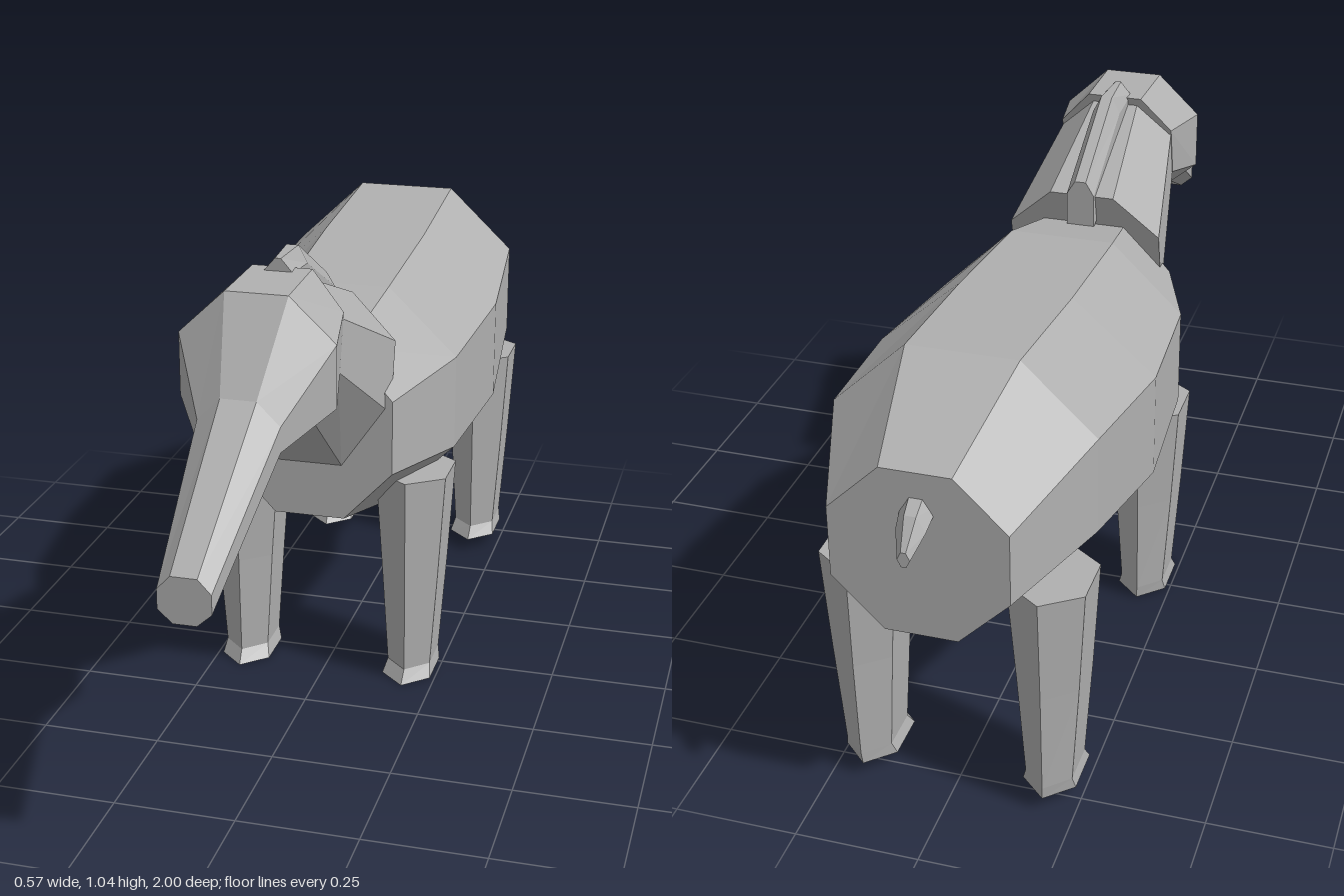
import * as THREE from 'three';

const hide = new THREE.MeshStandardMaterial({ color: 0xb0b0b0, flatShading: true });
hide.name = 'grey hide';

// Skin a list of rings; each runs clockwise as seen from the first ring's end.
function loft(name, rings) {
  const n = rings[0].length, pos = [];
  const tri = (a, b, c) => pos.push(...a, ...b, ...c);
  for (let i = 0; i < rings.length - 1; i++) {
    for (let j = 0; j < n; j++) {
      const k = (j + 1) % n, p = rings[i], q = rings[i + 1];
      tri(p[j], p[k], q[k]);
      tri(p[j], q[k], q[j]);
    }
  }
  const first = rings[0], last = rings[rings.length - 1];
  for (let j = 1; j < n - 1; j++) {
    tri(first[0], first[j + 1], first[j]);
    tri(last[0], last[j], last[j + 1]);
  }
  const geo = new THREE.BufferGeometry();
  geo.setAttribute('position', new THREE.Float32BufferAttribute(pos, 3));
  geo.computeVertexNormals();
  const mesh = new THREE.Mesh(geo, hide);
  mesh.name = name;
  return mesh;
}

// Mirror a half section, given from top to bottom, into a closed ring.
const mirror = (half) => [...half, ...half.slice().reverse().map(([x, y, z]) => [-x, y, z])];

// Eight-sided section that may lean from zTop to zBottom.
function octagon(zTop, zBottom, xTop, xSide, xBottom, yTop, yUpper, yLower, yBottom) {
  const z = (y) => zTop + (zBottom - zTop) * (yTop - y) / (yTop - yBottom);
  return mirror([[xTop, yTop], [xSide, yUpper], [xSide, yLower], [xBottom, yBottom]]
    .map(([x, y]) => [x, y, z(y)]));
}

// Six-sided leg with a small flared hoof
function leg(name, side, y, z) {
  // height, inner x, outer x, front z, back z
  const levels = [
    [0.475, 0.11, 0.263, 0.125, -0.09],
    [0.25, 0.126, 0.25, 0.12, -0.08],
    [0.028, 0.14, 0.235, 0.112, -0.07],
    [0, 0.132, 0.24, 0.135, -0.066],
  ];
  const rings = levels.map(([h, xi, xo, zf, zb]) => {
    const cx = side * (xi + xo) / 2, rx = (xo - xi) / 2;
    const cz = (zf + zb) / 2, rz = (zf - zb) / 2;
    return [[0, -1], [1, -0.5], [1, 0.5], [0, 1], [-1, 0.5], [-1, -0.5]]
      .map(([u, v]) => [cx + u * rx, y + h, z + cz + v * rz]);
  });
  return loft(name, rings);
}

export function createModel() {
  const model = new THREE.Group();
  model.name = 'animal';

  // Barrel-shaped body, chest to rump
  model.add(loft('body', [
    octagon(0.21, 0.21, 0.08, 0.178, 0.075, 0.80, 0.69, 0.53, 0.42),
    octagon(-0.03, -0.03, 0.11, 0.26, 0.11, 0.86, 0.715, 0.51, 0.365),
    octagon(-0.35, -0.35, 0.115, 0.285, 0.115, 0.89, 0.74, 0.522, 0.375),
    octagon(-0.67, -0.67, 0.11, 0.257, 0.11, 0.92, 0.78, 0.58, 0.43),
    octagon(-0.93, -0.93, 0.068, 0.17, 0.07, 0.82, 0.72, 0.575, 0.475),
  ]));

  // Neck widening into the shoulders
  model.add(loft('neck', [
    octagon(0.40, 0.46, 0.05, 0.125, 0.06, 1.0, 0.93, 0.83, 0.76),
    octagon(0.12, 0.21, 0.07, 0.167, 0.07, 0.89, 0.80, 0.655, 0.54),
  ]));

  // Head with its long drooping snout
  model.add(loft('head', [
    octagon(1.0, 1.0, 0.025, 0.05, 0.022, 0.635, 0.608, 0.57, 0.545),
    octagon(0.68, 0.68, 0.035, 0.08, 0.035, 0.845, 0.80, 0.75, 0.707),
    octagon(0.56, 0.56, 0.062, 0.154, 0.065, 1.012, 0.925, 0.80, 0.725),
    octagon(0.39, 0.455, 0.06, 0.127, 0.06, 1.015, 0.94, 0.83, 0.757),
  ]));

  // Ridged crest along the back of the neck
  const crest = (z, top, shoulder, base, ridge) =>
    mirror([[ridge, top, z], [0.03, shoulder, z], [0.03, base, z]]);
  model.add(loft('crest', [
    crest(0.42, 1.04, 1.012, 0.95, 0.006),
    crest(0.32, 1.04, 1.005, 0.90, 0.012),
    crest(0.11, 0.925, 0.895, 0.82, 0.012),
  ]));

  // Stubby tail
  const tail = (z, w, top, bottom) => {
    const m = (top + bottom) / 2;
    return mirror([[w * 0.4, top, z], [w, m, z], [w * 0.4, bottom, z]]);
  };
  model.add(loft('tail', [
    tail(-0.91, 0.034, 0.78, 0.715),
    tail(-0.96, 0.028, 0.75, 0.69),
    tail(-1.0, 0.012, 0.70, 0.67),
  ]));

  // Legs; the hind pair stands slightly higher
  for (const [side, label] of [[1, 'left'], [-1, 'right']]) {
    model.add(leg(label + 'FrontLeg', side, 0, 0));
    model.add(leg(label + 'HindLeg', side, 0.03, -0.738));
  }
  return model;
}
